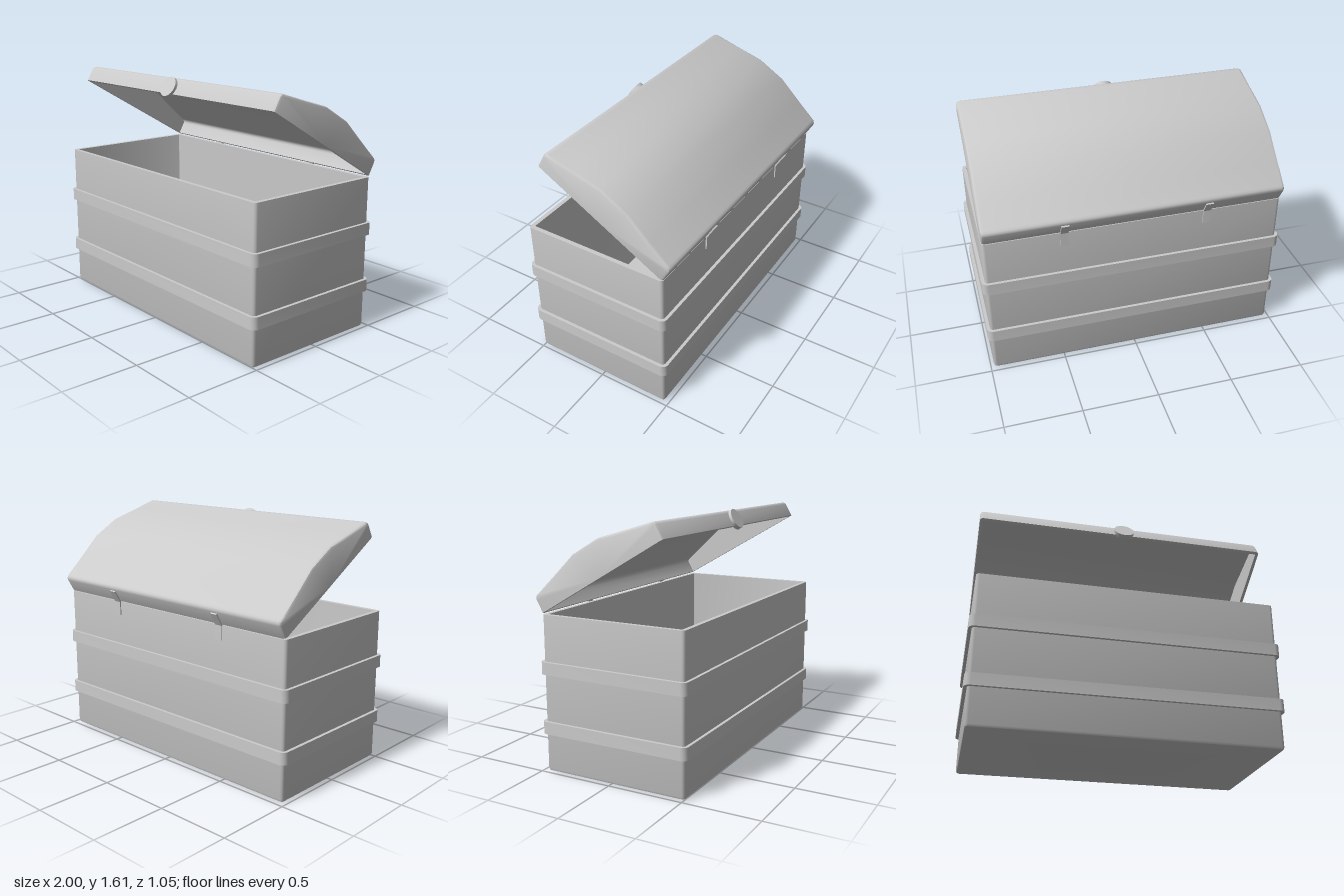
import * as THREE from 'three';
import { toCreasedNormals } from 'three/addons/utils/BufferGeometryUtils.js';

const material = new THREE.MeshStandardMaterial({ color: 0xcccccc });
const HALF_W = 0.978, DEPTH = 0.98, MID_Z = 0.018, HEIGHT = 1.005;

function addMesh(parent, name, geometry) {
  const mesh = new THREE.Mesh(geometry, material);
  mesh.name = name;
  parent.add(mesh);
  return mesh;
}

// Skin over rows of equal point count
function skin(rows, flip = false) {
  const n = rows[0].length, index = [];
  for (let i = 0; i < rows.length - 1; i++) {
    for (let j = 0; j < n - 1; j++) {
      const a = i * n + j, b = a + 1, c = a + n, d = c + 1;
      if (flip) index.push(a, c, b, b, c, d);
      else index.push(a, b, c, b, d, c);
    }
  }
  const geometry = new THREE.BufferGeometry().setFromPoints(rows.flat());
  geometry.setIndex(index);
  return toCreasedNormals(geometry, 0.75);
}

// Closed counter-clockwise rounded rectangle
function roundedRect(hw, hd, r, steps = 4) {
  const pts = [];
  for (let k = 0; k < 4; k++) {
    const sx = k === 0 || k === 3 ? 1 : -1, sy = k < 2 ? 1 : -1;
    for (let s = 0; s <= steps; s++) {
      const a = (k + s / steps) * Math.PI / 2;
      pts.push(new THREE.Vector2(sx * (hw - r) + r * Math.cos(a), sy * (hd - r) + r * Math.sin(a)));
    }
  }
  pts.push(pts[0].clone());
  return pts;
}

// Open box with thick walls and a softened bottom edge
function boxGeometry() {
  const ring = (y, inset) => roundedRect(HALF_W - inset, DEPTH / 2 - inset, Math.max(0.002, 0.022 - inset))
    .map(p => new THREE.Vector3(p.x, y, p.y + MID_Z));
  const centre = y => roundedRect(0, 0, 0).map(() => new THREE.Vector3(0, y, MID_Z));
  return skin([
    centre(0), ring(0, 0.02), ring(0.006, 0.006), ring(0.02, 0), ring(HEIGHT, 0),
    ring(HEIGHT, 0.028), ring(0.03, 0.028), centre(0.03),
  ], true);
}

// Strap running all the way round the box
function bandGeometry() {
  const shape = new THREE.Shape(roundedRect(0.999, DEPTH / 2 + 0.02, 0.04, 6));
  shape.holes.push(new THREE.Path(roundedRect(HALF_W - 0.006, DEPTH / 2 - 0.006, 0.02)));
  return toCreasedNormals(
    new THREE.ExtrudeGeometry(shape, { depth: 0.08, bevelEnabled: false }).rotateX(-Math.PI / 2), 0.6);
}

// Half of the lid arch from the rear rim upwards, as [depth, height]; mirrored for the front
const halfArch = [[0, 0], [0, 0.092], [0.004, 0.105], [0.014, 0.115], [0.03, 0.119], [0.19, 0.157], [0.385, 0.206]];
const arch = [...halfArch, ...halfArch.map(([z, y]) => [DEPTH - z, y]).reverse()];

// Arch row at a given x, drawn in by an inset while staying on the rim plane
function archRow(x, inset) {
  const su = Math.max(0, 1 - 2 * inset / DEPTH), sv = Math.max(0, 1 - inset / 0.206);
  return arch.map(([z, y]) => new THREE.Vector3(x, y * sv, DEPTH / 2 + (z - DEPTH / 2) * su));
}

function lidSkin(ends, flip) {
  const left = ends.map(([x, inset]) => archRow(-x, inset));
  const right = ends.map(([x, inset]) => archRow(x, inset)).reverse();
  return skin([...left, ...right], flip);
}

function createLid() {
  const lid = new THREE.Group();
  lid.name = 'lid';
  addMesh(lid, 'lidOuterShell', lidSkin([[HALF_W, 1], [HALF_W, 0.02], [0.972, 0.006], [0.958, 0]], false));
  addMesh(lid, 'lidInnerShell', lidSkin([[0.957, 1], [0.957, 0.02]], true));

  // Flat rim joining the two shells
  const frame = new THREE.Shape(roundedRect(HALF_W, DEPTH / 2, 0.02));
  frame.holes.push(new THREE.Path(roundedRect(0.957, DEPTH / 2 - 0.02, 0.002)));
  addMesh(lid, 'lidRim', new THREE.ShapeGeometry(frame).rotateX(Math.PI / 2).translate(0, 0, DEPTH / 2));

  // Round clasp on the front of the lid
  const clasp = new THREE.CylinderGeometry(0.068, 0.068, 0.03, 20).rotateX(Math.PI / 2);
  addMesh(lid, 'clasp', clasp).position.set(0, 0.042, DEPTH + 0.003);

  // Upper hinge leaves
  for (const x of [-0.467, 0.467]) {
    addMesh(lid, 'hingeUpperLeaf', new THREE.BoxGeometry(0.05, 0.088, 0.012)).position.set(x, 0.042, -0.004);
  }
  lid.position.set(0, 1.01, -0.473);
  lid.rotation.x = -0.526;
  return lid;
}

export function createModel() {
  const model = new THREE.Group();
  model.name = 'openChest';
  addMesh(model, 'box', boxGeometry());
  for (const y of [0.25, 0.632]) {
    addMesh(model, 'band', bandGeometry()).position.set(0, y, MID_Z);
  }
  // Lower hinge leaves on the back wall
  for (const x of [-0.467, 0.467]) {
    addMesh(model, 'hingeLowerLeaf', new THREE.BoxGeometry(0.05, 0.1, 0.012)).position.set(x, 0.963, -0.474);
  }
  model.add(createLid());
  return model;
}
